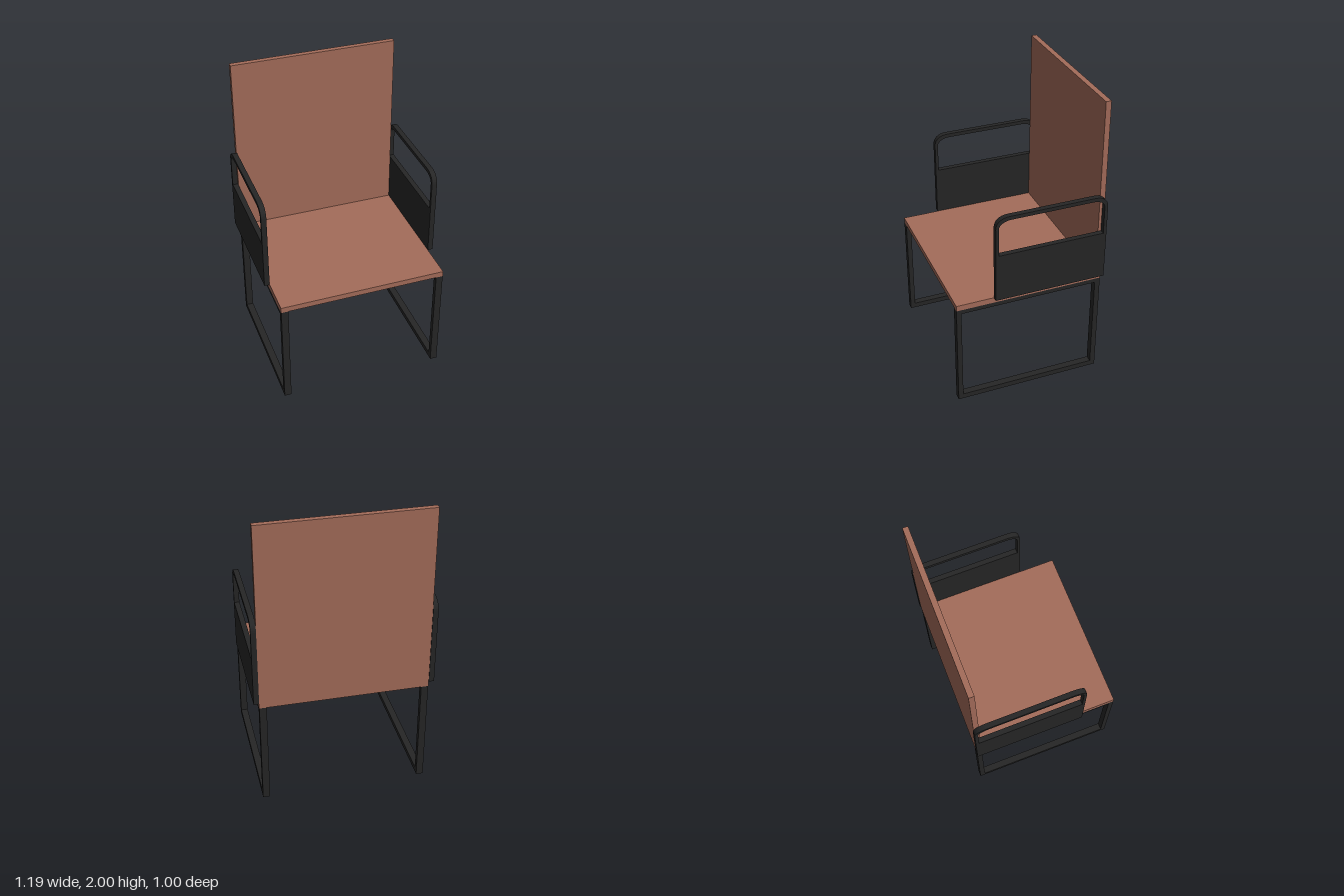
import * as THREE from 'three';

const wood = new THREE.MeshStandardMaterial({ color: 0xa46c5a });
const metal = new THREE.MeshStandardMaterial({ color: 0x262626 });

// Board given by its lower and upper limits on each axis
function board(name, [x0, x1], [y0, y1], [z0, z1]) {
  const mesh = new THREE.Mesh(new THREE.BoxGeometry(x1 - x0, y1 - y0, z1 - z0), wood);
  mesh.position.set((x0 + x1) / 2, (y0 + y1) / 2, (z0 + z1) / 2);
  mesh.name = name;
  return mesh;
}

// Side outline (u runs towards the back) whose upper corners curve by ru along and ry down
function outline(path, u0, u1, y0, y1, ru = 0, ry = 0) {
  path.moveTo(u0, y0);
  path.lineTo(u1, y0);
  path.lineTo(u1, y1 - ry);
  if (ru) path.bezierCurveTo(u1, y1 - ry * 0.4, u1 - ru * 0.4, y1, u1 - ru, y1);
  path.lineTo(u0 + ru, y1);
  if (ru) path.bezierCurveTo(u0 + ru * 0.4, y1, u0, y1 - ry * 0.4, u0, y1 - ry);
  path.closePath();
  return path;
}

// Flat frame with one opening, extruded across x from x0 to x1
function sideFrame(name, outer, inner, x0, x1) {
  const shape = outline(new THREE.Shape(), ...outer);
  shape.holes.push(outline(new THREE.Path(), ...inner));
  const geometry = new THREE.ExtrudeGeometry(shape, { depth: x1 - x0, bevelEnabled: false, curveSegments: 8 });
  geometry.rotateY(Math.PI / 2).translate(x0, 0, 0);
  const mesh = new THREE.Mesh(geometry, metal);
  mesh.name = name;
  return mesh;
}

export function createModel() {
  const chair = new THREE.Group();
  chair.name = 'armchair';

  // Seat and tall back
  chair.add(board('seat', [-0.558, 0.558], [0.73, 0.768], [-0.495, 0.5]));
  chair.add(board('backrest', [-0.558, 0.558], [0.768, 2], [-0.495, -0.459]));

  // Sled legs and armrests with a closed lower panel, one per side
  for (const [side, s] of [['left', 1], ['right', -1]]) {
    const legs = [s * 0.51, s * 0.557].sort((a, b) => a - b);
    const arm = [s * 0.558, s * 0.593].sort((a, b) => a - b);
    chair.add(sideFrame(side + 'LegFrame', [-0.5, 0.494, 0, 0.73], [-0.467, 0.459, 0.036, 0.7], ...legs));
    chair.add(sideFrame(side + 'Armrest',
      [-0.25, 0.5, 0.768, 1.37, 0.09, 0.075], [-0.23, 0.478, 1.1, 1.345, 0.085, 0.055], ...arm));
  }
  return chair;
}
